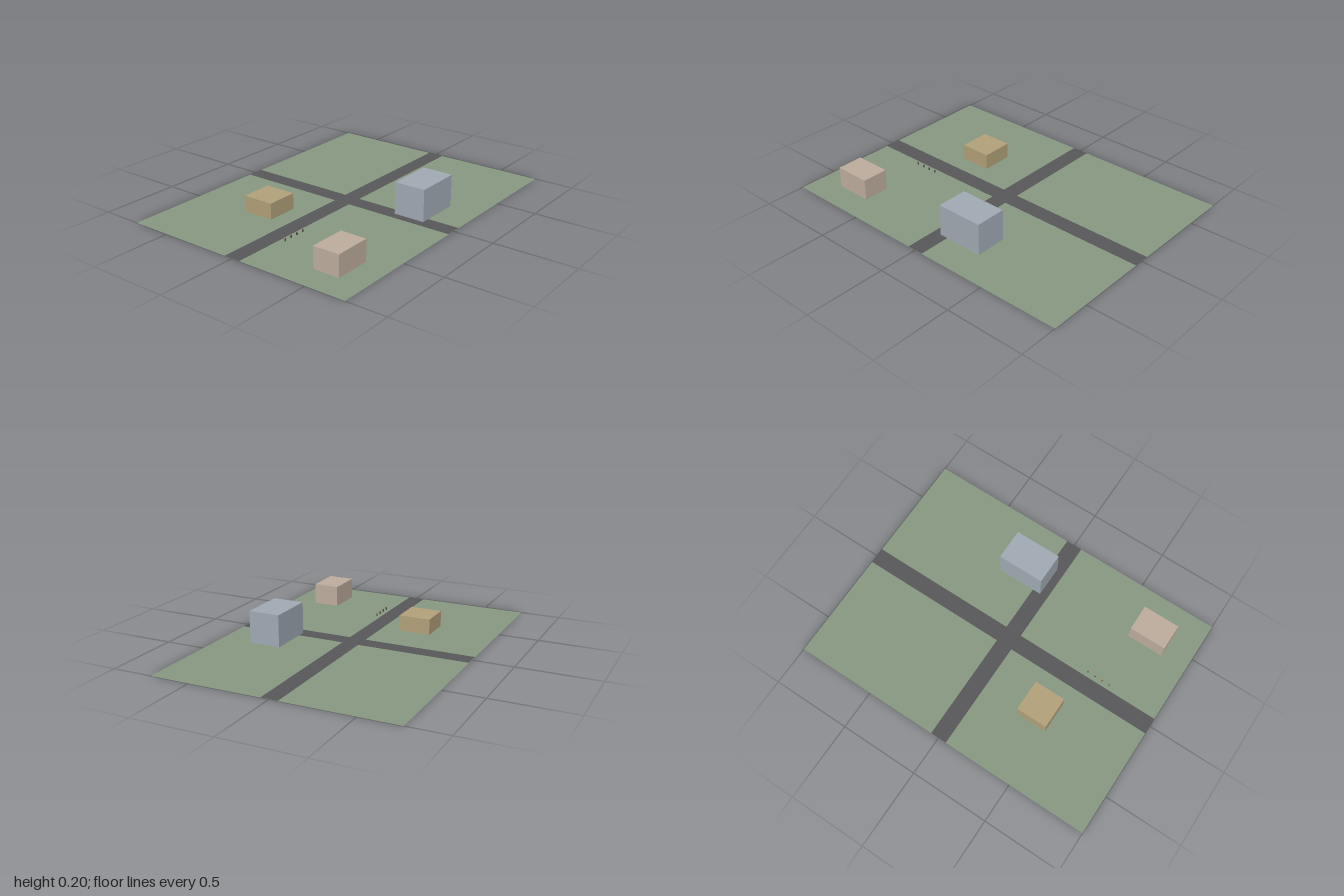
import * as THREE from 'three';

const material = (name, color, side = THREE.FrontSide) => {
  const m = new THREE.MeshStandardMaterial({ color, side });
  m.name = name;
  return m;
};

export function createModel() {
  const model = new THREE.Group();
  model.name = 'crossroads';
  const grass = material('grass green', 0x86977f, THREE.DoubleSide);
  const asphalt = material('asphalt grey', 0x575658);
  const blue = material('blue grey', 0x9fa8b2);
  const tan = material('tan', 0xb09f78);
  const pink = material('pale clay', 0xbcab9c);
  const clothes = material('dark clothes', 0x4d4a45);
  const skin = material('skin', 0xb08a6c);

  const add = (parent, name, geometry, mat, x, y, z) => {
    const mesh = new THREE.Mesh(geometry, mat);
    mesh.name = name;
    mesh.position.set(x, y, z);
    parent.add(mesh);
    return mesh;
  };

  // Flat sheets: the ground and two crossing roads just above it
  const sheet = (name, w, d, mat, y) =>
    add(model, name, new THREE.PlaneGeometry(w, d).rotateX(-Math.PI / 2), mat, 0, y, 0);
  sheet('ground', 2, 1.5, grass, 0);
  sheet('roadAcross', 2, 0.105, asphalt, 0.001);
  sheet('roadLengthwise', 0.105, 1.5, asphalt, 0.0015);

  // Plain block buildings, bases a hair above the ground sheet
  const building = (name, mat, w, h, d, x, z) =>
    add(model, name, new THREE.BoxGeometry(w, h - 0.0005, d), mat, x, h / 2 + 0.00025, z);
  building('tallBuilding', blue, 0.297, 0.2, 0.198, 0.148, 0.449);
  building('lowBuilding', tan, 0.198, 0.1, 0.2, -0.402, -0.268);
  building('sideBuilding', pink, 0.232, 0.133, 0.167, -0.716, 0.5);

  // Row of four pedestrians beside the road
  const body = new THREE.CylinderGeometry(0.0045, 0.0045, 0.016, 10);
  const head = new THREE.SphereGeometry(0.004, 10, 8);
  for (let i = 0; i < 4; i++) {
    const person = new THREE.Group();
    person.name = 'pedestrian';
    person.position.set(-0.668 + i * 0.05, 0, 0.083);
    add(person, 'body', body, clothes, 0, 0.0085, 0);
    add(person, 'head', head, skin, 0, 0.0195, 0);
    model.add(person);
  }
  return model;
}
